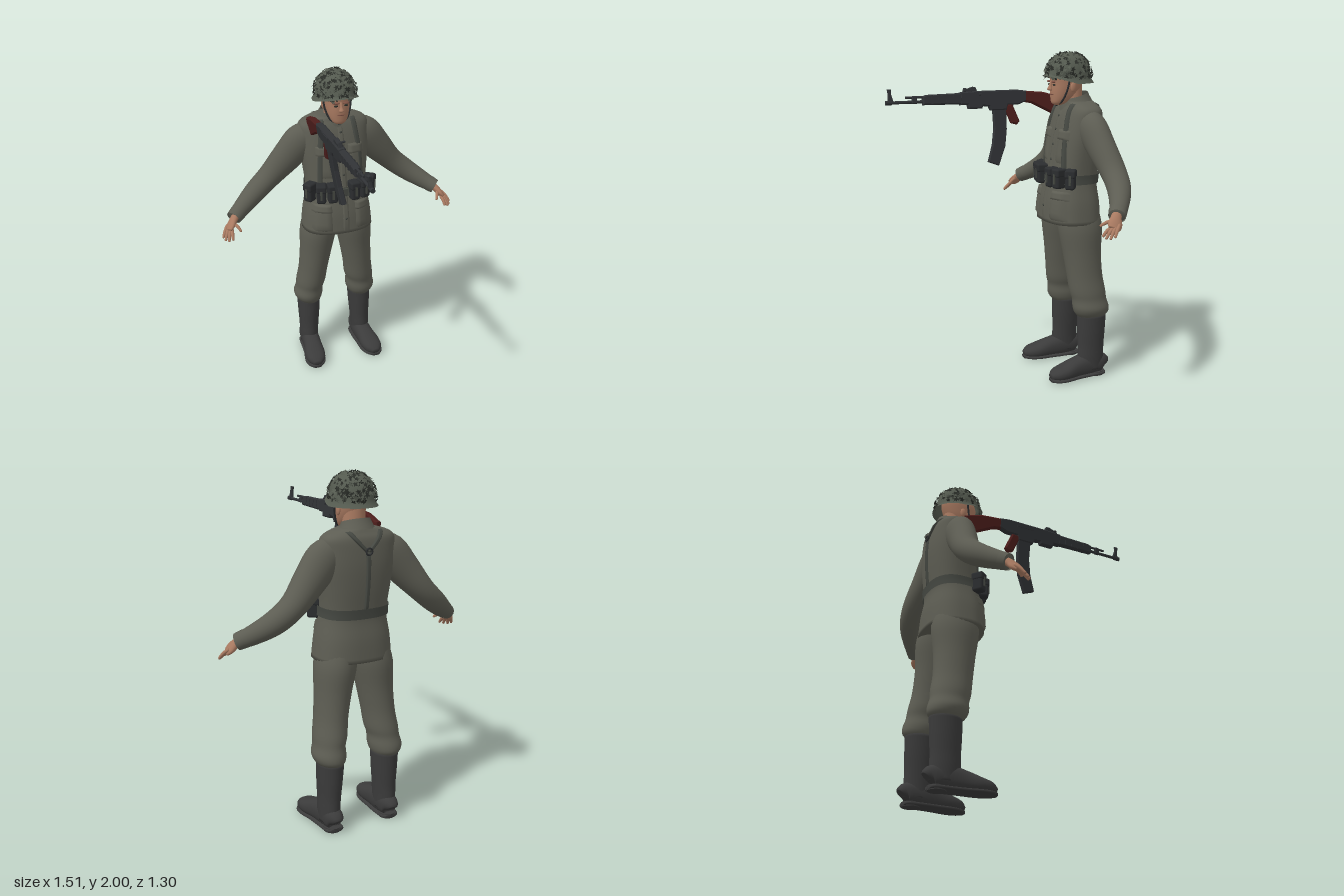
import * as THREE from 'three';
import { mergeGeometries } from 'three/addons/utils/BufferGeometryUtils.js';
import { RoundedBoxGeometry } from 'three/addons/geometries/RoundedBoxGeometry.js';

const mat = (name, color) => Object.assign(new THREE.MeshStandardMaterial({ color, side: THREE.DoubleSide }), { name });
const V = (x, y, z) => new THREE.Vector3(x, y, z);
const UP = V(0, 1, 0), X = V(1, 0, 0), Z = V(0, 0, 1);

// Catmull-Rom interpolation of rows of numbers
function spline(rows, t) {
  const n = rows.length - 1, i = Math.min(Math.floor(t), n - 1), f = t - i;
  const at = k => rows[Math.max(0, Math.min(n, k))];
  return rows[i].map((_, c) => {
    const [a, b, d, e] = [at(i - 1)[c], at(i)[c], at(i + 1)[c], at(i + 2)[c]];
    return b + 0.5 * f * (d - a + f * (2 * a - 5 * b + 4 * d - e + f * (3 * (b - d) + e - a)));
  });
}

// Tube through sections [x, y, z, radius along ref, other radius]
function loft(rows, { tangent, ref = X, n = 28, power = 2, steps = 4, cap = true } = {}) {
  const m = (rows.length - 1) * steps, P = [], I = [];
  const rings = Array.from({ length: m + 1 }, (_, i) => spline(rows, i / steps));
  const c = rings.map(r => V(r[0], r[1], r[2]));
  const sp = v => Math.sign(v) * Math.abs(v) ** (2 / power);
  rings.forEach((r, i) => {
    const t = tangent ?? c[Math.min(i + 1, m)].clone().sub(c[Math.max(i - 1, 0)]).normalize();
    const u = ref.clone().addScaledVector(t, -ref.dot(t)).normalize(), v = t.clone().cross(u);
    for (let j = 0; j < n; j++) {
      const a = j / n * Math.PI * 2;
      const p = c[i].clone().addScaledVector(u, sp(Math.cos(a)) * r[3]).addScaledVector(v, sp(Math.sin(a)) * r[4]);
      P.push(p.x, p.y, p.z);
      const k = i * n + j, q = i * n + (j + 1) % n;
      if (i < m) I.push(k, q, k + n, q, q + n, k + n);
    }
  });
  if (cap) {
    const s = P.length / 3;
    P.push(...c[0].toArray(), ...c[m].toArray());
    for (let j = 0; j < n; j++) I.push(s, (j + 1) % n, j, s + 1, m * n + j, m * n + (j + 1) % n);
  }
  return finish(P, I);
}
function finish(P, I) {
  const g = new THREE.BufferGeometry();
  g.setAttribute('position', new THREE.Float32BufferAttribute(P, 3));
  g.setIndex(I);
  g.computeVertexNormals();
  return g;
}
function warp(g, rule) {
  const p = g.attributes.position, v = V();
  for (let i = 0; i < p.count; i++) { v.fromBufferAttribute(p, i); rule(v); p.setXYZ(i, v.x, v.y, v.z); }
  g.computeVertexNormals();
  return g;
}

// Jacket sections: y, centre z, half width, half depth
const JACKET = [[0.98, -0.445, 0.225, 0.172], [1.1, -0.445, 0.212, 0.165], [1.2, -0.447, 0.193, 0.148], [1.26, -0.455, 0.188, 0.142],
  [1.38, -0.468, 0.2, 0.142], [1.5, -0.48, 0.215, 0.136], [1.6, -0.488, 0.218, 0.122], [1.655, -0.493, 0.212, 0.108],
  [1.685, -0.492, 0.17, 0.092], [1.705, -0.488, 0.1, 0.085]];
const POW = 2.5;
const jacketAt = y => {
  let i = 0;
  while (i < JACKET.length - 2 && y > JACKET[i + 1][0]) i++;
  return spline(JACKET, i + Math.max(0, Math.min(1, (y - JACKET[i][0]) / (JACKET[i + 1][0] - JACKET[i][0]))));
};
const jacketZ = (x, y, side) => {
  const [, cz, rx, rz] = jacketAt(y);
  return cz + side * rz * Math.max(0, 1 - Math.abs(x / rx) ** POW) ** (1 / POW);
};
// Raised cloth band lying on the jacket, along points [x, y, half width]
function band(path, side, lift = 0.009) {
  const P = [], I = [], m = (path.length - 1) * 6, k = 6;
  for (let i = 0; i <= m; i++) {
    const [x, y, w] = spline(path, i / 6);
    for (let j = 0; j <= k; j++) {
      const xx = x + w * (j / k * 2 - 1), edge = i === 0 || i === m || j === 0 || j === k;
      P.push(xx, y, jacketZ(xx, y, side) + side * (edge ? -0.002 : lift));
      const a = i * (k + 1) + j, b = a + k + 1;
      if (i < m && j < k) I.push(...(side < 0 ? [a, b, a + 1, a + 1, b, b + 1] : [a, a + 1, b, a + 1, b + 1, b]));
    }
  }
  return finish(P, I);
}
// Plate outlined in (z, y), extruded across x
function plate(pts, w, bevel = 0.004) {
  const g = new THREE.ExtrudeGeometry(new THREE.Shape(pts.map(p => new THREE.Vector2(...p))),
    { depth: w - 2 * bevel, bevelSize: bevel, bevelThickness: bevel, bevelSegments: 1, bevelOffset: -bevel });
  return g.translate(0, 0, bevel - w / 2).rotateY(-Math.PI / 2);
}
const ball = (x, y, z, a, b, c) => new THREE.SphereGeometry(1, 16, 12).scale(a, b, c).translate(x, y, z);

export function createModel() {
  const root = new THREE.Group();
  const cloth = mat('field grey cloth', 0x5d5d53), boot = mat('boot leather', 0x3b3b3b), black = mat('black leather', 0x2b2d2f);
  const web = mat('webbing', 0x454842), skin = mat('skin', 0xa97a61), lip = mat('lip', 0x7d5144), leaf = mat('helmet green', 0x555b50);
  const scrim = mat('dark scrim', 0x2a2d28), steel = mat('gun metal', 0x303235), wood = mat('red brown wood', 0x4c1d1b);
  const add = (name, g, m, parent = root) => {
    const mesh = new THREE.Mesh(g, m);
    mesh.name = name;
    parent.add(mesh);
    return mesh;
  };

  // Jacket, collar, placket and belt
  add('jacket', loft(JACKET.map(([y, z, a, b]) => [0, y, z, a, b]), { tangent: UP, power: POW, n: 48 }), cloth);
  add('collar', warp(loft([[0, 1.675, -0.482, 0.11, 0.1], [0, 1.71, -0.477, 0.09, 0.088], [0, 1.738, -0.475, 0.077, 0.078]],
    { tangent: UP, cap: false }), v => { v.y -= (v.z + 0.48) * 0.28; }), cloth);
  add('placket', band([[0.012, 0.985, 0.022], [0.012, 1.35, 0.02], [0.012, 1.66, 0.018]], 1, 0.006), cloth);
  for (const y of [1.08, 1.36, 1.45, 1.54, 1.62]) add('button', ball(0.012, y, jacketZ(0.012, y, 1) + 0.007, 0.008, 0.008, 0.004), web);
  add('belt', loft([1.222, 1.25, 1.278].map(y => { const [, z, a, b] = jacketAt(y); return [0, y, z, a + 0.009, b + 0.009]; }),
    { tangent: UP, power: POW, n: 48, cap: false }), web);
  add('buckle', new RoundedBoxGeometry(0.065, 0.05, 0.012, 2, 0.004).translate(0, 1.25, jacketZ(0, 1.25, 1) + 0.011), web);

  // Back harness
  add('backStrap', band([[0, 1.6, 0.016], [0, 1.42, 0.014], [0, 1.26, 0.014]], -1), web);
  add('harnessRing', new THREE.TorusGeometry(0.018, 0.005, 8, 20).translate(0, 1.59, jacketZ(0, 1.59, -1) - 0.01), black);

  for (const s of [1, -1]) {
    const side = new THREE.Group();
    side.name = s > 0 ? 'leftSide' : 'rightSide';
    root.add(side);
    const put = (name, g, m) => add(name, g, m, side);
    const flip = rows => rows.map(([x, ...r]) => [x * s, ...r]);

    // Straps and pockets
    put('frontStrap', band(flip([[0.1, 1.697, 0.018], [0.108, 1.62, 0.018], [0.125, 1.48, 0.017], [0.135, 1.28, 0.014]]), 1, 0.011), web);
    put('rearStrap', band(flip([[0.1, 1.697, 0.018], [0.06, 1.645, 0.017], [0, 1.585, 0.016]]), -1, 0.011), web);
    put('chestPocket', band(flip([[0.1, 1.34, 0.05], [0.1, 1.53, 0.05]]), 1, 0.008), cloth);
    put('chestPocketFlap', band(flip([[0.1, 1.48, 0.052], [0.1, 1.545, 0.052]]), 1, 0.013), cloth);
    put('skirtPocket', band(flip([[0.135, 1.0, 0.062], [0.13, 1.17, 0.055]]), 1, 0.011), cloth);
    put('skirtPocketFlap', band(flip([[0.132, 1.125, 0.062], [0.13, 1.18, 0.057]]), 1, 0.016), cloth);

    // Ammunition pouches wrapped round the waist
    [[0.07, -0.298, 0.1], [0.136, -0.312, 0.3], [0.192, -0.362, 0.95]].forEach(([x, z, turn]) => {
      const pouch = new THREE.Group();
      pouch.name = 'ammoPouch';
      pouch.position.set(x * s, 1.26, z);
      pouch.rotation.y = turn * s;
      side.add(pouch);
      add('pouchBody', new RoundedBoxGeometry(0.058, 0.105, 0.07, 3, 0.014).translate(0, -0.007, 0), black, pouch);
      add('pouchFlap', new RoundedBoxGeometry(0.064, 0.05, 0.078, 3, 0.012).translate(0, 0.035, 0), black, pouch);
      add('pouchTab', new THREE.BoxGeometry(0.014, 0.06, 0.006).translate(0, 0, 0.038), web, pouch);
    });

    // Sleeve and cuff
    put('sleeve', loft(flip([[0.13, 1.59, -0.493, 0.07, 0.075], [0.2, 1.55, -0.495, 0.083, 0.105], [0.29, 1.45, -0.51, 0.08, 0.095],
      [0.4, 1.328, -0.53, 0.075, 0.073], [0.5, 1.245, -0.513, 0.068, 0.066], [0.6, 1.178, -0.458, 0.054, 0.054],
      [0.662, 1.142, -0.412, 0.046, 0.044]]), { ref: Z }), cloth);
    put('cuff', loft(flip([[0.635, 1.157, -0.432, 0.052, 0.05], [0.668, 1.138, -0.408, 0.049, 0.046]]), { ref: Z, cap: false }), cloth);

    // Hand
    put('palm', loft(flip([[0.65, 1.15, -0.42, 0.026, 0.024], [0.672, 1.128, -0.4, 0.032, 0.022], [0.695, 1.1, -0.382, 0.042, 0.019],
      [0.712, 1.08, -0.366, 0.034, 0.012]]), { ref: Z, n: 16 }), skin);
    [[0.718, 1.093, -0.393, 0.752, 1.04, -0.352], [0.712, 1.086, -0.377, 0.742, 1.03, -0.33], [0.704, 1.08, -0.362, 0.724, 1.03, -0.312],
      [0.694, 1.08, -0.35, 0.7, 1.038, -0.305], [0.672, 1.115, -0.375, 0.644, 1.083, -0.317]].forEach(([a, b, c, d, e, f], i) => {
      const at = (t, r) => [a + (d - a) * t, b + (e - b) * t + 0.006 * Math.sin(t * 3), c + (f - c) * t, r, r];
      put(i === 4 ? 'thumb' : 'finger', loft(flip([at(-0.2, 0.01), at(0.3, 0.0105), at(0.7, 0.009), at(0.95, 0.007), at(1, 0.002)]),
        { n: 10, ref: Z, steps: 3 }), skin);
    });

    // Trouser leg bloused over the boot
    put('trouserLeg', loft(flip([[0.1, 1.06, -0.46, 0.1, 0.13], [0.116, 0.95, -0.468, 0.115, 0.14], [0.134, 0.8, -0.475, 0.102, 0.122],
      [0.152, 0.66, -0.487, 0.093, 0.114], [0.166, 0.56, -0.502, 0.094, 0.115], [0.176, 0.505, -0.512, 0.088, 0.11],
      [0.182, 0.455, -0.52, 0.094, 0.116], [0.181, 0.42, -0.526, 0.086, 0.11], [0.178, 0.395, -0.527, 0.07, 0.09]]).reverse(),
      { tangent: UP }), cloth);

    // Marching boot
    put('bootShaft', loft(flip([[0.184, 0.05, -0.53, 0.056, 0.084], [0.184, 0.13, -0.527, 0.06, 0.086], [0.182, 0.2, -0.527, 0.063, 0.085],
      [0.18, 0.3, -0.528, 0.07, 0.09], [0.178, 0.41, -0.53, 0.076, 0.093]]), { tangent: UP }), boot);
    const foot = [[0.181, 0.06, -0.618, 0.03, 0.04], [0.182, 0.075, -0.595, 0.052, 0.06], [0.184, 0.075, -0.5, 0.058, 0.07],
      [0.19, 0.066, -0.42, 0.06, 0.06], [0.199, 0.052, -0.34, 0.067, 0.046], [0.205, 0.044, -0.28, 0.055, 0.035], [0.208, 0.036, -0.243, 0.022, 0.016]];
    put('bootFoot', warp(loft(flip(foot), { power: 2.3 }), v => { v.y = Math.max(v.y, 0.016); }), boot);
    put('sole', loft(flip(foot.map(([x, , z, a]) => [x, 0.014, z, a + 0.003, 0.01])), { tangent: Z, power: 4 }), boot);
    put('heel', new THREE.CylinderGeometry(0.052, 0.05, 0.026, 20).translate(0.183 * s, 0.013, -0.568), boot);

    // Ear, eye and brow
    put('ear', ball(0.079 * s, 1.79, -0.425, 0.01, 0.03, 0.018), skin);
    put('eye', ball(0.031 * s, 1.803, -0.322, 0.013, 0.006, 0.007), scrim);
    put('brow', ball(0.032 * s, 1.82, -0.318, 0.021, 0.006, 0.01), lip);
    put('chinStrap', new THREE.TubeGeometry(new THREE.CatmullRomCurve3([V(0.088 * s, 1.85, -0.4), V(0.079 * s, 1.77, -0.385),
      V(0.05 * s, 1.705, -0.365), V(0, 1.68, -0.352)]), 24, 0.006, 8), black);
  }

  // Head
  add('neck', new THREE.CylinderGeometry(0.06, 0.066, 0.16, 24).translate(0, 1.72, -0.455), skin);
  add('head', loft([[0, 1.682, -0.362, 0.022, 0.022], [0, 1.695, -0.37, 0.043, 0.045], [0, 1.725, -0.39, 0.061, 0.07],
    [0, 1.765, -0.407, 0.072, 0.09], [0, 1.81, -0.418, 0.078, 0.1], [0, 1.87, -0.425, 0.08, 0.108], [0, 1.92, -0.43, 0.06, 0.09]],
    { tangent: UP, power: 2.2 }), skin);
  add('nose', loft([[0, 1.768, -0.315, 0.014, 0.01], [0, 1.776, -0.309, 0.016, 0.016], [0, 1.795, -0.314, 0.009, 0.012],
    [0, 1.825, -0.32, 0.007, 0.007]], { tangent: UP, n: 14 }), skin);
  add('mouth', ball(0, 1.745, -0.324, 0.024, 0.005, 0.009), lip);

  // Helmet, raised at the brow
  const profile = [[0.146, 1.812], [0.134, 1.828], [0.123, 1.85], [0.121, 1.89], [0.11, 1.93], [0.086, 1.962], [0.05, 1.981], [0.0001, 1.987]];
  add('helmet', warp(new THREE.LatheGeometry(profile.map(p => new THREE.Vector2(...p)), 40).scale(0.95, 1, 1.08), v => {
    v.y += Math.max(0, v.z) / 0.15 * 0.042 * Math.max(0, (1.9 - v.y) / 0.09);
  }).translate(0, 0, -0.43), leaf);

  // Leaf camouflage scattered over the helmet
  let seed = 7;
  const rnd = () => (seed = (seed * 16807) % 2147483647) / 2147483647;
  const outline = new THREE.Shape(Array.from({ length: 10 }, (_, i) => {
    const r = i % 2 ? 0.45 : 1, a = i * Math.PI / 5;
    return new THREE.Vector2(Math.cos(a) * r, Math.sin(a) * r * 0.8);
  }));
  const leaves = [[], []];
  for (let i = 0; i < 330; i++) {
    const az = rnd() * Math.PI * 2, el = Math.asin(-0.2 + 1.2 * rnd()), e = Math.max(0, el), k = 1.01 + rnd() * 0.06;
    const n = V(Math.cos(e) * Math.sin(az), Math.sin(el), Math.cos(e) * Math.cos(az)), size = 0.012 + rnd() * 0.011;
    const q = new THREE.Quaternion().setFromUnitVectors(Z, n.clone().add(V(rnd() - 0.5, rnd() - 0.5, rnd() - 0.5).multiplyScalar(0.9)).normalize());
    leaves[i % 5 < 3 ? 0 : 1].push(new THREE.ShapeGeometry(outline).rotateZ(rnd() * 6).scale(size, size, size).applyQuaternion(q)
      .translate(n.x * 0.121 * k, 1.866 + n.y * 0.121 * k, -0.43 + n.z * 0.138 * k));
  }
  add('darkLeaves', mergeGeometries(leaves[0]), scrim);
  add('greenLeaves', mergeGeometries(leaves[1]), leaf);

  // Rifle, muzzle forward, rolled a little
  const gun = new THREE.Group();
  gun.name = 'rifle';
  gun.position.set(-0.165, 1.73, 0);
  gun.rotation.z = 0.15;
  root.add(gun);
  const part = (name, g, m = steel) => add(name, g, m, gun);
  const rod = (y, z0, z1, r) => new THREE.CylinderGeometry(r, r, z1 - z0, 14).rotateX(Math.PI / 2).translate(0, y, (z0 + z1) / 2);
  part('barrel', rod(-0.016, 0.4, 0.65, 0.009));
  part('muzzleNut', rod(-0.016, 0.615, 0.65, 0.013));
  part('gasTube', rod(0.01, 0.4, 0.53, 0.007));
  part('gasBlock', plate([[0.46, -0.026], [0.495, -0.026], [0.49, 0.018], [0.465, 0.018]], 0.022));
  part('frontSight', plate([[0.6, -0.02], [0.638, -0.02], [0.632, 0.03], [0.636, 0.06], [0.612, 0.06], [0.614, 0.03]], 0.018));
  part('handguard', plate([[0.19, -0.04], [0.43, -0.036], [0.43, 0.014], [0.41, 0.022], [0.19, 0.026]], 0.04, 0.008));
  part('receiver', plate([[0.2, -0.045], [0.2, 0.03], [0.1, 0.034], [-0.16, 0.034], [-0.225, 0.025], [-0.225, -0.035], [-0.17, -0.055],
    [-0.1, -0.055], [-0.09, -0.085], [0.01, -0.085], [0.02, -0.06], [0.06, -0.055], [0.065, -0.07], [0.15, -0.07], [0.155, -0.045]], 0.042, 0.007));
  part('rearSight', plate([[0.09, 0.03], [0.18, 0.03], [0.17, 0.055], [0.15, 0.05], [0.12, 0.06], [0.1, 0.058]], 0.026));
  part('boltCover', new THREE.BoxGeometry(0.006, 0.022, 0.11).translate(-0.022, 0.012, -0.05));
  part('boltHandle', new THREE.CylinderGeometry(0.006, 0.006, 0.04, 10).rotateZ(Math.PI / 2).translate(0.035, 0.012, 0.08));
  for (let i = 0; i < 4; i++) part('handguardRib', new THREE.BoxGeometry(0.046, 0.05, 0.012).translate(0, -0.007, 0.24 + i * 0.045));
  part('magazine', plate([[-0.005, -0.08], [-0.088, -0.08], [-0.085, -0.2], [-0.07, -0.3], [-0.022, -0.415], [0.043, -0.39], [0.01, -0.29],
    [-0.006, -0.19]], 0.03));
  part('triggerGuard', new THREE.TorusGeometry(0.025, 0.004, 8, 18, Math.PI).rotateZ(Math.PI).rotateY(Math.PI / 2).translate(0, -0.055, -0.112));
  part('grip', plate([[-0.075, -0.055], [-0.13, -0.05], [-0.172, -0.155], [-0.155, -0.175], [-0.118, -0.165]], 0.034, 0.008), wood);
  part('stock', plate([[-0.21, 0.026], [-0.21, -0.04], [-0.26, -0.05], [-0.44, -0.14], [-0.452, -0.02], [-0.34, 0.014]], 0.04, 0.009), wood);

  return root;
}
